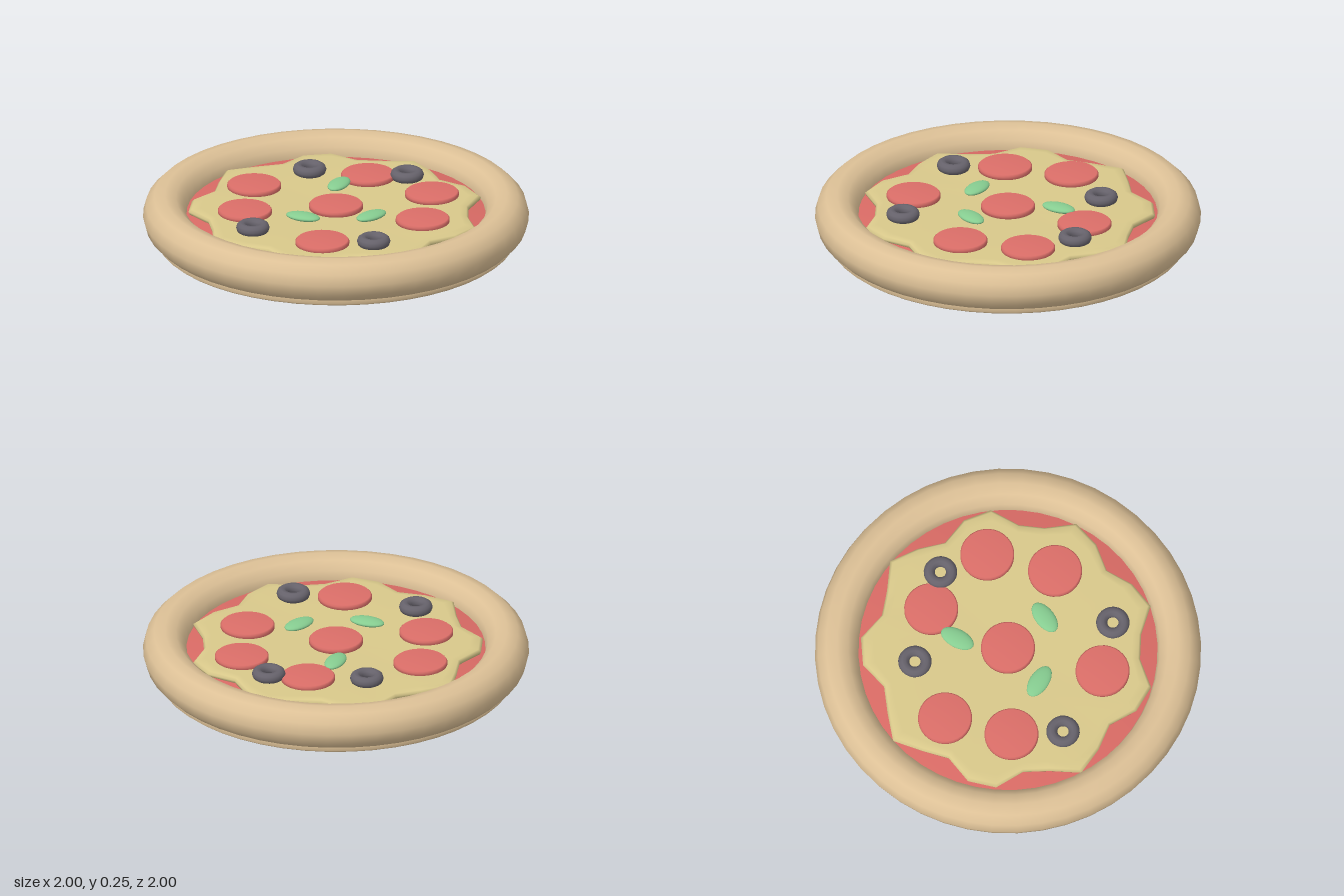
import * as THREE from 'three';
import { mergeVertices } from 'three/addons/utils/BufferGeometryUtils.js';

const material = (name, color) => {
  const m = new THREE.MeshStandardMaterial({ color });
  m.name = name;
  return m;
};

// Smooth solid of revolution; profile runs from the underside up to the axis.
// An optional rule moves each vertex before the normals are made.
function turned(profile, segments, rule) {
  const lathe = new THREE.LatheGeometry(profile.map(([x, y]) => new THREE.Vector2(x, y)), segments);
  lathe.deleteAttribute('uv');
  lathe.deleteAttribute('normal');
  const geometry = mergeVertices(lathe, 1e-4);
  const pos = geometry.attributes.position;
  if (rule) {
    const v = new THREE.Vector3();
    for (let i = 0; i < pos.count; i++) {
      v.fromBufferAttribute(pos, i);
      rule(v);
      pos.setXYZ(i, v.x, v.y, v.z);
    }
  }
  geometry.computeVertexNormals();
  return geometry;
}

export function createModel() {
  const model = new THREE.Group();
  model.name = 'pizza';
  const dough = material('baked dough', 0xdcc096);
  const sauceRed = material('tomato sauce', 0xd86a64);
  const cheeseYellow = material('melted cheese', 0xd8c88a);
  const meatRed = material('pepperoni red', 0xdb6e68);
  const oliveGrey = material('olive grey', 0x66626b);
  const leafGreen = material('basil green', 0x86cc90);

  const add = (name, geometry, mat, x = 0, y = 0, z = 0) => {
    const mesh = new THREE.Mesh(geometry, mat);
    mesh.name = name;
    mesh.position.set(x, y, z);
    model.add(mesh);
    return mesh;
  };

  // Dough base and puffed rim
  add('base', turned([[0, 0], [0.9, 0], [0.915, 0.002], [0.93, 0.014], [0.93, 0.06], [0, 0.06]], 48), dough);
  add('crust', new THREE.TorusGeometry(0.886, 0.114, 12, 48).rotateX(Math.PI / 2), dough, 0, 0.139, 0);

  // Sauce layer
  add('sauce', turned([[0, 0.06], [0.8, 0.06], [0.8, 0.148], [0, 0.148]], 48), sauceRed);

  // Cheese sheet with nine lobes, fading towards the middle
  const cheeseProfile = [[0, 0.14], [0.69, 0.14], [0.72, 0.15], [0.725, 0.165],
    [0.712, 0.177], [0.67, 0.183], [0.35, 0.179], [0, 0.178]];
  add('cheese', turned(cheeseProfile, 32, (v) => {
    const r = Math.hypot(v.x, v.z);
    const wave = Math.cos(9 * Math.atan2(v.x, -v.z));
    const k = 1 + 0.076 * wave * Math.pow(r / 0.725, 3);
    v.x *= k;
    v.z *= k;
  }), cheeseYellow);

  // Pepperoni slices
  const slice = turned([[0, 0], [0.14, 0], [0.14, 0.024], [0.132, 0.032], [0, 0.034]], 32);
  [[0, 0], [-0.085, -0.5], [-0.375, -0.295], [0.42, -0.165], [0.46, 0.25], [0.165, 0.46], [-0.415, 0.29]]
    .forEach(([x, z]) => add('pepperoni', slice, meatRed, x, 0.172, z));

  // Olive rings
  const ring = new THREE.TorusGeometry(0.058, 0.029, 10, 24).rotateX(Math.PI / 2);
  [[0.25, -0.42], [0.54, 0], [-0.54, -0.085], [-0.25, 0.5]]
    .forEach(([x, z]) => add('olive', ring, oliveGrey, x, 0.204, z));

  // Basil leaves: flattened ellipsoids turned about the vertical
  const leaf = new THREE.SphereGeometry(1, 20, 14).scale(0.094, 0.02, 0.051);
  [[0.205, -0.17, 0.35], [-0.25, 0, -1.25], [0, 0.25, -0.08]]
    .forEach(([x, z, turn]) => { add('basilLeaf', leaf, leafGreen, x, 0.203, z).rotation.y = turn; });

  return model;
}
